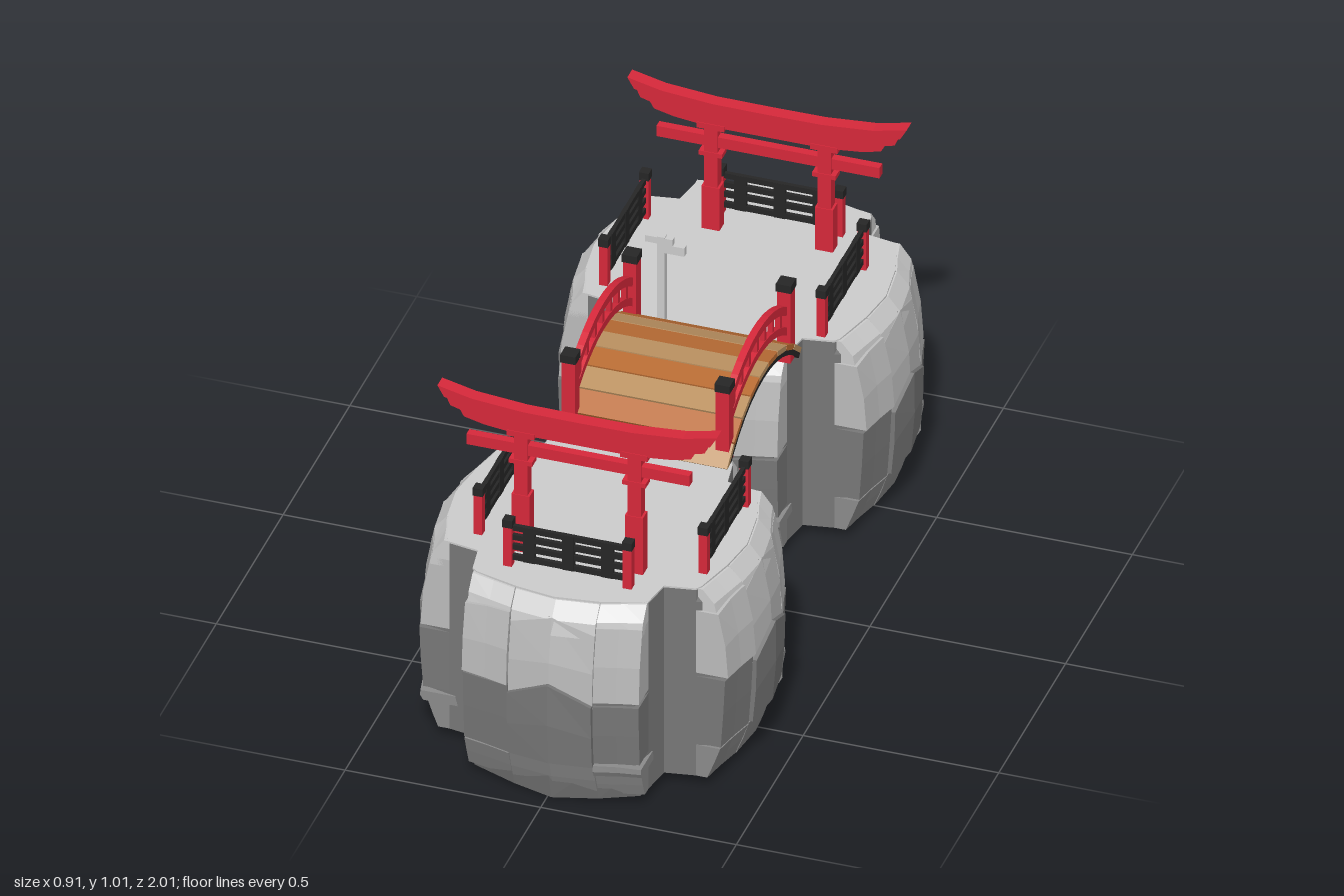
import * as THREE from 'three';

const mat = (color) => new THREE.MeshStandardMaterial({ color, flatShading: true });
const STONE = mat(0xcccccc), UPPER_STONE = mat(0xbababa), LOW_STONE = mat(0x8a8a8a), DARK_STONE = mat(0x777777);
const RED = mat(0xd6283a), BLACK = mat(0x262626);
const ORANGE_WOOD = mat(0xb86c34), TAN_WOOD = mat(0xba9060);
const GROUND = 0.57;

function add(parent, name, geometry, material, x = 0, y = 0, z = 0) {
  const mesh = new THREE.Mesh(geometry, material);
  mesh.name = name;
  mesh.position.set(x, y, z);
  parent.add(mesh);
  return mesh;
}

function box(parent, name, material, w, h, d, x, y, z) {
  return add(parent, name, new THREE.BoxGeometry(w, h, d), material, x, y, z);
}

function group(parent, name, x = 0, y = 0, z = 0, turn = 0) {
  const g = new THREE.Group();
  g.name = name;
  g.position.set(x, y, z);
  g.rotation.y = turn;
  parent.add(g);
  return g;
}

// Skin a list of equal cross-sections and close both ends
function loft(rings) {
  const n = rings[0].length, last = rings.length - 1, pos = [], index = [];
  rings.forEach((ring) => ring.forEach((p) => pos.push(...p)));
  const centre = (ring) => {
    pos.push(...[0, 1, 2].map((k) => ring.reduce((s, p) => s + p[k], 0) / n));
    return pos.length / 3 - 1;
  };
  const c0 = centre(rings[0]), c1 = centre(rings[last]);
  for (let j = 0; j < n; j++) {
    const k = (j + 1) % n;
    for (let r = 0; r < last; r++) {
      const a = r * n + j, b = r * n + k;
      index.push(a, b, b + n, a, b + n, a + n);
    }
    index.push(c0, k, j, c1, last * n + j, last * n + k);
  }
  const g = new THREE.BufferGeometry();
  g.setAttribute('position', new THREE.Float32BufferAttribute(pos, 3));
  g.setIndex(index);
  g.computeVertexNormals();
  return g;
}

// Rock wall of one arm: [across, outward, how much it follows the bulge]
const COLUMNS = [[-0.238, 0.238, 0], [-0.225, 0.315, 0], [-0.212, 0.385, 1], [-0.1, 0.415, 1],
  [0, 0.43, 1], [0.115, 0.415, 1], [0.212, 0.385, 1], [0.225, 0.315, 0]];
// Bulge by height, from the bottom up
const ROWS = [[0.03, -0.045], [0.12, -0.012], [0.33, 0], [0.45, -0.012], [0.535, -0.03], [GROUND, -0.06]];

function lookup(table, x) {
  let i = 0;
  while (i < table.length - 2 && x > table[i + 1][0]) i++;
  const [a, b] = [table[i], table[i + 1]];
  return a[1] + (b[1] - a[1]) * THREE.MathUtils.clamp((x - a[0]) / (b[0] - a[0]), 0, 1);
}
const FACE = COLUMNS.slice(2, 7);
const wall = (u, y) => lookup(FACE, u) + lookup(ROWS, y);

// Stone plates of one arm: [left, right, bottom, tops at left, middle and right, thickness, stone]
const PLATES = [
  [-0.225, -0.102, 0.03, [0.12, 0.12, 0.12], 0.004, LOW_STONE],
  [-0.225, -0.102, 0.125, [0.32, 0.32, 0.325], 0.005, DARK_STONE],
  [-0.225, -0.102, 0.33, [0.51, 0.52, 0.525], 0.012, UPPER_STONE],
  [-0.22, -0.102, 0.5, [0.572, 0.57, 0.57], 0.005, STONE],
  [-0.1, 0.115, 0.03, [0.125, 0.125, 0.125], 0.005, LOW_STONE],
  [-0.1, 0.115, 0.13, [0.31, 0.36, 0.31], 0.014, DARK_STONE],
  [-0.1, 0.115, 0.3, [0.5, 0.535, 0.5], 0.005, UPPER_STONE],
  [-0.1, 0.115, 0.49, [0.57, 0.57, 0.57], 0.004, STONE],
  [0.117, 0.225, 0.03, [0.1, 0.1, 0.1], 0.004, LOW_STONE],
  [0.117, 0.23, 0.103, [0.137, 0.134, 0.13], 0.014, LOW_STONE],
  [0.117, 0.225, 0.14, [0.31, 0.31, 0.31], 0.008, DARK_STONE],
  [0.117, 0.225, 0.32, [0.52, 0.52, 0.52], 0.005, UPPER_STONE],
  [0.117, 0.225, 0.5, [0.57, 0.572, 0.575], 0.004, STONE],
];

function plate(parent, [u0, u1, bottom, tops, thick, stone]) {
  const rings = [u0, (u0 + u1) / 2, u1].map((u, i) => {
    const t = tops[i], m = (t + bottom) / 2;
    return [[u, t, wall(u, t) + thick], [u, m, wall(u, m) + thick * 1.2], [u, bottom, wall(u, bottom) + thick],
      [u, bottom, wall(u, bottom) - 0.075], [u, t, wall(u, t) - 0.075]];
  });
  add(parent, 'rockPlate', loft(rings), stone);
}

// The underside dips below the arm that points away from the bridge
function island(parent, x, z, outerArm) {
  const g = group(parent, 'rockIsland', x, 0, z);
  const rings = ROWS.map(([y, bulge], r) => {
    const ring = [];
    for (let k = 0; k < 4; k++) {
      const c = Math.cos(k * Math.PI / 2), s = Math.sin(k * Math.PI / 2);
      for (const [u, out, follow] of COLUMNS) {
        const v = out + bulge * follow;
        const dip = r === 0 && k === outerArm ? 0.03 * follow * (1 - Math.abs(u) / 0.3) : 0;
        ring.push([u * c + v * s, y - dip, v * c - u * s]);
      }
    }
    return ring;
  });
  add(g, 'rockCore', loft(rings), DARK_STONE);
  const top = rings[rings.length - 1];
  add(g, 'islandTop', loft([top, top.map(([px, py, pz]) => [px, py + 0.005, pz])]), STONE);
  for (let k = 0; k < 4; k++) {
    const arm = group(g, 'rockFace', 0, 0, 0, k * Math.PI / 2);
    PLATES.forEach((p) => plate(arm, p));
  }
}

function cappedPost(parent, x, z, height, w) {
  box(parent, 'post', RED, w, height, w, x, height / 2, z);
  box(parent, 'postCap', BLACK, w * 1.15, 0.022, w * 1.15, x, height - 0.009, z);
}

function fence(parent, x, z, turn) {
  const g = group(parent, 'fence', x, GROUND, z, turn);
  for (const s of [-1, 1]) cappedPost(g, s * 0.153, 0, 0.137, 0.022);
  for (const y of [0.03, 0.06, 0.088, 0.115]) box(g, 'fenceRail', BLACK, 0.3, 0.015, 0.01, 0, y, 0);
  for (const s of [-1, 0, 1]) box(g, 'fenceUpright', BLACK, 0.03, 0.1, 0.012, s * 0.1, 0.072, 0);
}

// Symmetric outline from its right half, extruded and centred in depth
function beam(parent, name, half, depth) {
  const pts = [...half, ...half.map(([x, y]) => [-x, y]).reverse()].map((p) => new THREE.Vector2(...p));
  const geo = new THREE.ExtrudeGeometry(new THREE.Shape(pts), { depth, bevelEnabled: false });
  add(parent, name, geo.translate(0, 0, -depth / 2), RED);
}

function gate(parent, x, z, drop) {
  const g = group(parent, 'gate', x, -drop, z);
  for (const s of [-1, 1]) {
    const px = s * 0.145;
    box(g, 'pillar', RED, 0.034, 0.41, 0.03, px, 0.735, 0);
    box(g, 'pillarSleeve', RED, 0.046, 0.18, 0.034, px, 0.65, 0);
    box(g, 'pillarCollar', RED, 0.06, 0.012, 0.034, px, 0.835, 0);
    box(g, 'pillarHead', RED, 0.07, 0.016, 0.034, px, 0.915, 0);
  }
  beam(g, 'topLintel', [[0, 0.953], [0.14, 0.955], [0.25, 0.965], [0.34, 0.985], [0.357, 1.015],
    [0.27, 0.995], [0.14, 0.984], [0, 0.983]], 0.036);
  beam(g, 'lowerLintel', [[0, 0.915], [0.15, 0.915], [0.24, 0.925], [0.29, 0.937], [0.3, 0.955],
    [0.325, 0.962], [0.335, 0.985], [0.25, 0.967], [0.14, 0.956], [0, 0.955]], 0.03);
  box(g, 'tieBeam', RED, 0.57, 0.03, 0.022, 0, 0.87, 0);
}

// Curved bar along z: a slice of a ring in the y-z plane
function archBar(x, w, cy, radius, h, maxAngle) {
  const rings = [];
  for (let i = 0; i <= 12; i++) {
    const a = maxAngle * (i / 6 - 1), s = Math.sin(a), c = Math.cos(a), r = radius - h;
    const [yt, zt, yb, zb] = [cy + radius * c, radius * s, cy + r * c, r * s];
    rings.push([[x - w / 2, yt, zt], [x - w / 2, yb, zb], [x + w / 2, yb, zb], [x + w / 2, yt, zt]]);
  }
  return loft(rings);
}

function bridge(parent) {
  const g = group(parent, 'bridge', 0.01, 0, 0);
  const R = 0.398, cy = 0.292, span = 0.78, count = 9;
  add(g, 'deckUnderside', archBar(0, 0.42, cy, R - 0.01, 0.012, span), TAN_WOOD);
  for (let i = 0; i < count; i++) {
    const a = span * (1 - (2 * i + 1) / count);
    const p = box(g, 'plank', i % 2 ? ORANGE_WOOD : TAN_WOOD, 0.44, 0.014, 2 * span * R / count - 0.004,
      0, cy + (R - 0.007) * Math.cos(a), (R - 0.007) * Math.sin(a));
    p.rotation.x = a;
  }
  for (const s of [-1, 1]) {
    const x = s * 0.197;
    add(g, 'deckEdge', archBar(s * 0.213, 0.012, cy, R - 0.008, 0.018, span), BLACK);
    add(g, 'handRail', archBar(x, 0.018, 0.42, 0.38, 0.022, 0.62), RED);
    add(g, 'lowerRail', archBar(x, 0.016, 0.36, 0.38, 0.02, 0.64), RED);
    for (let i = -3; i <= 3; i++) {
      const z = i * 0.058, y = 0.36 + Math.sqrt(0.36 ** 2 - z * z);
      box(g, 'baluster', RED, 0.013, 0.06, 0.014, x, y + 0.035, z);
    }
    for (const e of [-1, 1]) {
      const post = group(g, 'bridgePost', x, GROUND, e * 0.23);
      cappedPost(post, 0, 0, 0.225, 0.034);
    }
  }
}

function signpost(parent) {
  const g = group(parent, 'signpost', -0.13, GROUND, -0.288);
  box(g, 'signPole', STONE, 0.02, 0.25, 0.018, 0, 0.125, 0);
  box(g, 'signCrossbar', STONE, 0.07, 0.018, 0.016, -0.005, 0.238, 0);
  box(g, 'signBoard', STONE, 0.06, 0.024, 0.016, 0.03, 0.217, 0);
}

export function createModel() {
  const model = new THREE.Group();
  model.name = 'bridgedIslands';

  island(model, 0.01, 0.565, 0);
  island(model, -0.02, -0.56, 2);
  bridge(model);
  signpost(model);

  gate(model, 0.017, 0.76, 0);
  gate(model, 0, -0.712, 0.042);

  // Three fences on each island, the bridge side left open
  const q = Math.PI / 2;
  fence(model, 0.015, 0.835, 0);
  fence(model, -0.25, 0.575, q);
  fence(model, 0.32, 0.56, q);
  fence(model, 0.005, -0.777, 0);
  fence(model, -0.312, -0.545, q);
  fence(model, 0.258, -0.505, q);
  return model;
}
